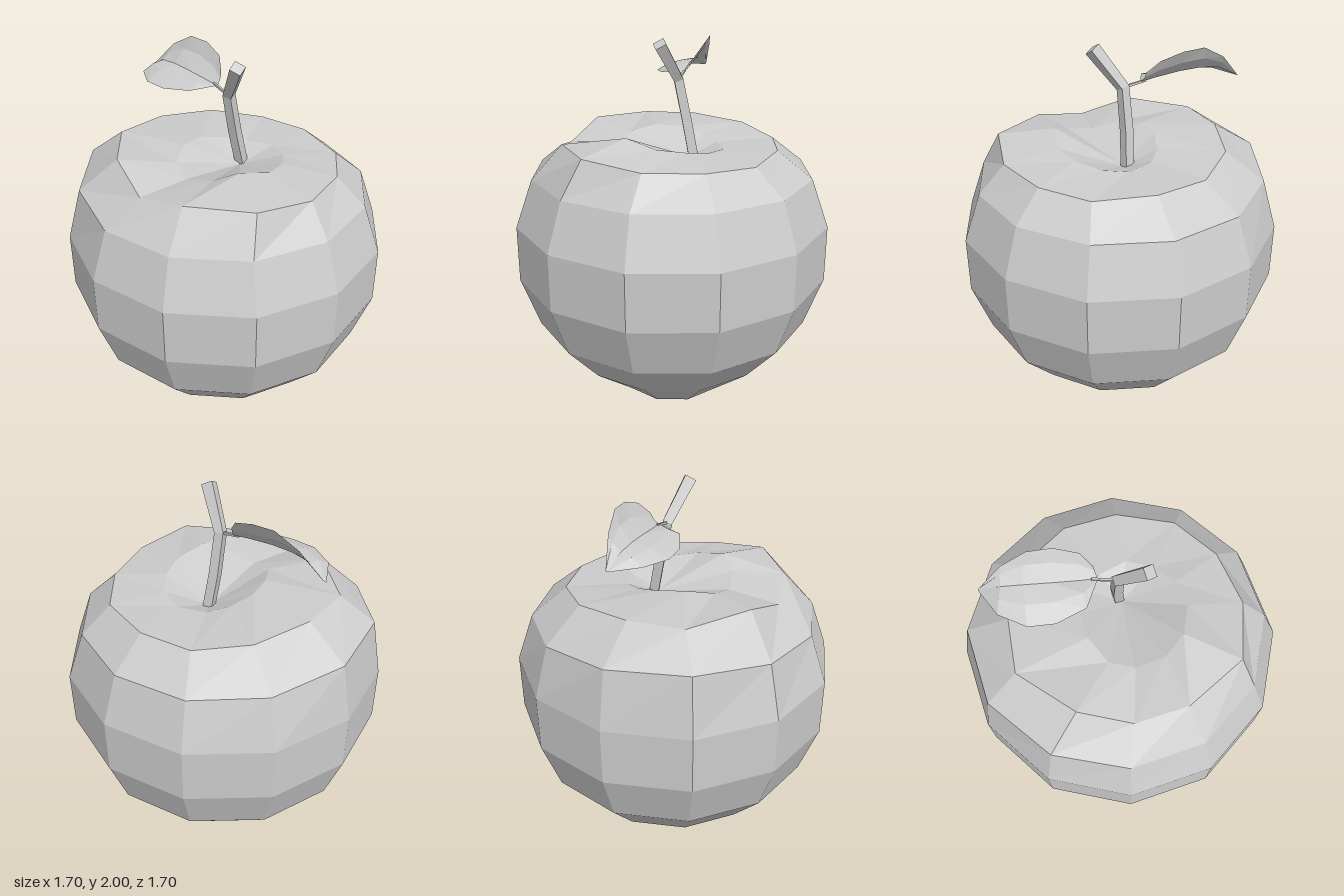
import * as THREE from 'three';

const SIDES = 12;
const V = (x, y, z) => new THREE.Vector3(x, y, z);

function material(side = THREE.FrontSide) {
  return new THREE.MeshStandardMaterial({ color: 0xcccccc, flatShading: true, side });
}

// Joins rows of points into a faceted skin; a row of one point closes it as a fan.
function loft(name, rows, closed = true, side) {
  const pos = [];
  const tri = (...pts) => pts.forEach((p) => pos.push(p.x, p.y, p.z));
  for (let i = 0; i < rows.length - 1; i++) {
    const lo = rows[i], hi = rows[i + 1];
    const n = Math.max(lo.length, hi.length);
    for (let k = 0; k < (closed ? n : n - 1); k++) {
      const a = lo[k % lo.length], b = lo[(k + 1) % lo.length];
      const c = hi[(k + 1) % hi.length], d = hi[k % hi.length];
      if (lo.length > 1) tri(a, b, c);
      if (hi.length > 1) tri(a, c, d);
    }
  }
  const geo = new THREE.BufferGeometry();
  geo.setAttribute('position', new THREE.Float32BufferAttribute(pos, 3));
  geo.computeVertexNormals();
  const mesh = new THREE.Mesh(geo, material(side));
  mesh.name = name;
  return mesh;
}

// Horizontal ring, starting near the front and turning towards +x.
function ring(radius, height) {
  return Array.from({ length: SIDES }, (_, k) => {
    const a = THREE.MathUtils.degToRad(12 + 30 * k);
    const s = Math.sin(a), c = Math.cos(a);
    const r = typeof radius === 'function' ? radius(s, c) : radius;
    const y = typeof height === 'function' ? height(s, c) : height;
    return V(r * s, y, r * c);
  });
}

// Square-section stalk following a bent path.
function stalk(name, path, radii) {
  const rows = path.map((p, i) => {
    const dir = path[Math.min(i + 1, path.length - 1)].clone()
      .sub(path[Math.max(i - 1, 0)]).normalize();
    const ref = Math.abs(dir.x) > 0.8 ? V(0, -1, 0) : V(1, 0, 0);
    const u = ref.addScaledVector(dir, -ref.dot(dir)).normalize();
    const w = u.clone().cross(dir);
    return Array.from({ length: 4 }, (_, k) => {
      const a = Math.PI / 4 + k * Math.PI / 2;
      return p.clone().addScaledVector(w, radii[i] * Math.cos(a))
        .addScaledVector(u, radii[i] * Math.sin(a));
    });
  });
  return loft(name, [[path[0]], ...rows, [path[path.length - 1]]]);
}

function createBody() {
  // Uneven shoulder rim and the lip of the stem hollow
  const rim = [
    [0.13, 1.465, 0.59], [0.47, 1.475, 0.47], [0.61, 1.44, 0.18], [0.6, 1.43, -0.13],
    [0.47, 1.42, -0.39], [0.19, 1.43, -0.55], [-0.1, 1.43, -0.575], [-0.37, 1.46, -0.44],
    [-0.55, 1.48, -0.17], [-0.61, 1.48, 0.12], [-0.4, 1.495, 0.42], [-0.15, 1.41, 0.56],
  ].map((p) => V(...p));
  const lip = [
    [0.12, 1.47, 0.31], [0.24, 1.52, 0.25], [0.33, 1.48, 0.1], [0.32, 1.46, -0.05],
    [0.26, 1.44, -0.18], [0.14, 1.43, -0.27], [-0.02, 1.43, -0.25], [-0.12, 1.45, -0.18],
    [-0.2, 1.48, -0.06], [-0.21, 1.49, 0.08], [-0.16, 1.46, 0.23], [-0.04, 1.43, 0.3],
  ].map((p) => V(...p));
  return loft('appleBody', [
    [V(0, 0.09, 0)],
    ring(0.15, 0.05),
    ring(0.34, (s, c) => 0.005 + 0.045 * c * c),
    ring(0.575, 0.21),
    ring(0.77, 0.43),
    ring(0.87, 0.71),
    ring(0.87, 1.02),
    ring((s) => 0.775 + 0.04 * Math.max(0, -s) ** 3, (s) => 1.28 + 0.06 * Math.max(0, -s) ** 3),
    rim,
    lip,
    [V(0.04, 1.365, -0.09)],
  ]);
}

function createLeaf() {
  // Stations along the leaf: front edge, midrib, back edge
  const stations = [
    [[-0.1, 1.8, -0.055], [-0.09, 1.8, -0.07], [-0.095, 1.86, -0.11]],
    [[-0.19, 1.79, 0.05], [-0.17, 1.81, -0.085], [-0.14, 1.925, -0.165]],
    [[-0.35, 1.775, 0.065], [-0.31, 1.825, -0.12], [-0.25, 1.965, -0.215]],
    [[-0.48, 1.775, 0.03], [-0.43, 1.83, -0.155], [-0.37, 1.97, -0.24]],
    [[-0.59, 1.775, -0.08], [-0.53, 1.82, -0.19], [-0.5, 1.9, -0.25]],
    [[-0.635, 1.765, -0.235], [-0.635, 1.765, -0.24], [-0.62, 1.775, -0.245]],
  ];
  const rows = stations.map((st) => {
    const [front, mid, back] = st.map((p) => V(...p));
    const f = front.clone().lerp(mid, 0.5);
    const b = back.clone().lerp(mid, 0.5);
    f.y += 0.012 * (mid.y - front.y > 0.005 ? 1 : 0);
    b.z -= 0.12 * (back.y - mid.y);
    return [front, f, mid, b, back];
  });
  return loft('leaf', rows, false, THREE.DoubleSide);
}

export function createModel() {
  const group = new THREE.Group();
  group.name = 'apple';
  group.add(createBody());
  group.add(stalk('stem',
    [V(0.035, 1.34, -0.12), V(0.01, 1.56, -0.08), V(0, 1.78, -0.035), V(0.115, 1.98, 0.07)],
    [0.036, 0.036, 0.035, 0.043]));
  group.add(stalk('leafStalk',
    [V(0, 1.78, -0.035), V(-0.05, 1.79, -0.05), V(-0.12, 1.805, -0.075)],
    [0.01, 0.009, 0.008]));
  group.add(createLeaf());
  return group;
}
